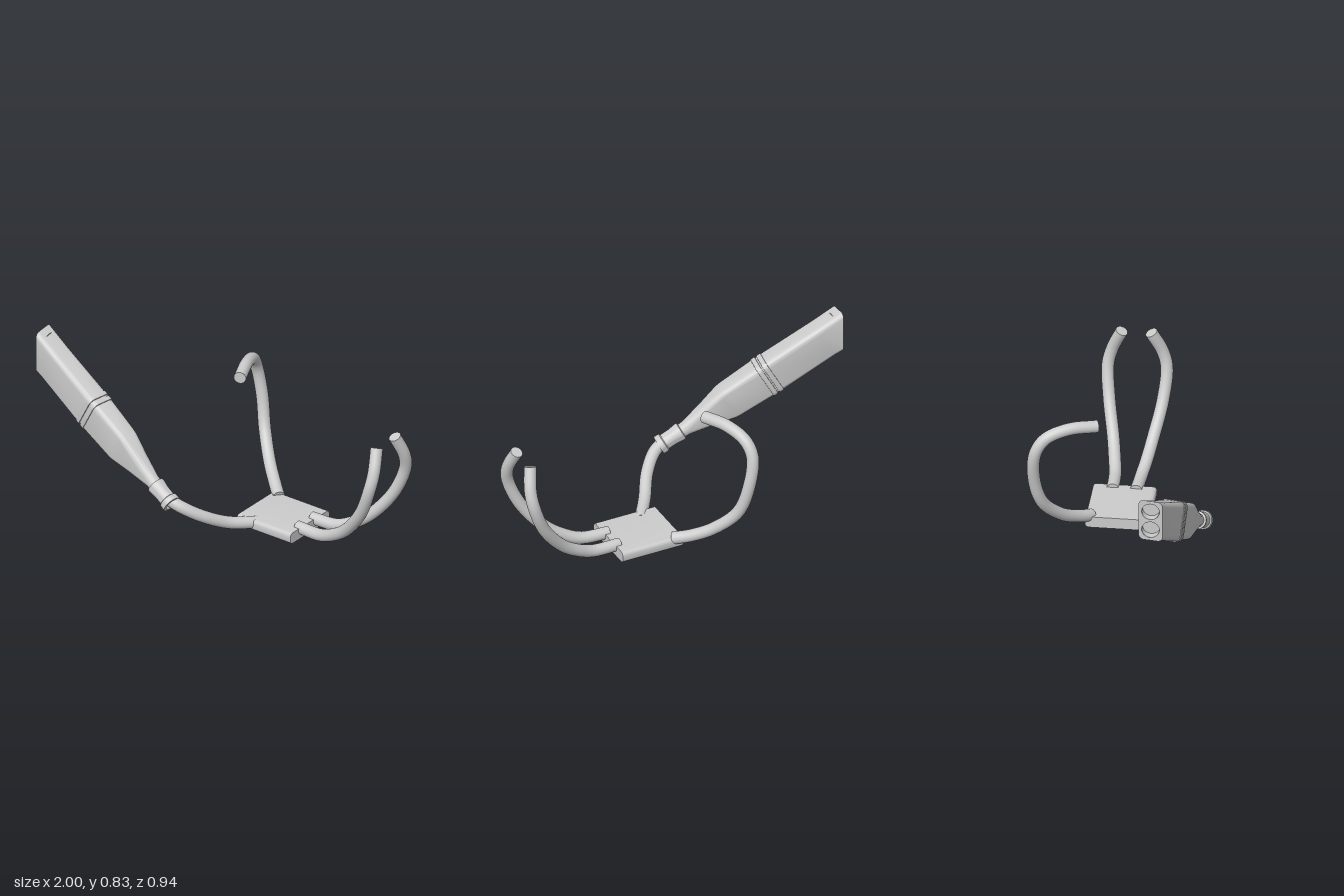
import * as THREE from 'three';
import { toCreasedNormals } from 'three/addons/utils/BufferGeometryUtils.js';

const V = (x, y, z) => new THREE.Vector3(x, y, z);

export function createModel() {
  const group = new THREE.Group();
  const grey = new THREE.MeshStandardMaterial({ color: 0xcccccc, side: THREE.DoubleSide });
  grey.name = 'light grey';
  const add = (name, geo, parent = group) => {
    const m = new THREE.Mesh(geo, grey);
    m.name = name;
    parent.add(m);
    return m;
  };

  // Round bent bar with flat ends
  function bar(name, pts, r = 0.032) {
    const g = new THREE.Group();
    g.name = name;
    group.add(g);
    const curve = new THREE.CatmullRomCurve3(pts.map(p => V(...p)));
    add(name + 'Rod', new THREE.TubeGeometry(curve, 60, r, 24), g);
    for (const t of [0, 1]) {
      const cap = add(name + 'End', new THREE.CircleGeometry(r, 24), g);
      cap.position.copy(curve.getPoint(t));
      cap.quaternion.setFromUnitVectors(V(0, 0, 1), curve.getTangent(t).multiplyScalar(t ? 1 : -1));
    }
  }

  // Outline of a rounded rectangle, counter-clockwise
  function roundedOutline(hw, hh, r, steps = 8) {
    const out = [];
    [[1, 1], [-1, 1], [-1, -1], [1, -1]].forEach(([sx, sy], q) => {
      for (let i = 0; i <= steps; i++) {
        const a = (q + i / steps) * Math.PI / 2;
        out.push(new THREE.Vector2(sx * (hw - r) + r * Math.cos(a), sy * (hh - r) + r * Math.sin(a)));
      }
    });
    return out;
  }

  // Base plate, rounded along its front and back edges
  const plate = new THREE.ExtrudeGeometry(new THREE.Shape(roundedOutline(0.163, 0.03, 0.02)),
    { depth: 0.34, bevelEnabled: false });
  plate.rotateY(Math.PI / 2).translate(0.12, 0.036, -0.045);
  add('basePlate', toCreasedNormals(plate, 0.5));

  // Two upright curved prongs on the left
  bar('frontProng', [[0.43, 0.055, 0.015], [0.58, 0.062, 0.025], [0.68, 0.105, 0.042], [0.77, 0.17, 0.06],
    [0.89, 0.32, 0.095], [0.955, 0.48, 0.108], [0.965, 0.57, 0.085], [0.942, 0.685, 0.03]]);
  bar('backProng', [[0.43, 0.055, -0.105], [0.58, 0.062, -0.11], [0.68, 0.105, -0.125], [0.77, 0.17, -0.143],
    [0.89, 0.32, -0.178], [0.955, 0.48, -0.192], [0.965, 0.57, -0.17], [0.942, 0.685, -0.12]]);

  // Hooked bar at the back
  bar('hookBar', [[0.16, 0.055, -0.18], [0.09, 0.085, -0.24], [0, 0.145, -0.315], [-0.095, 0.265, -0.4],
    [-0.14, 0.43, -0.437], [-0.165, 0.59, -0.425], [-0.15, 0.665, -0.375],
    [-0.105, 0.702, -0.263], [-0.045, 0.695, -0.125]]);

  // Arm leading to the handle
  bar('handleArm', [[0.22, 0.037, 0.07], [0.13, 0.062, 0.2], [0.055, 0.125, 0.32],
    [-0.025, 0.185, 0.395], [-0.1, 0.222, 0.418]]);

  // Handle axis and its cross-section frame
  const start = V(-0.18, 0.262, 0.4), axis = V(-0.82, 0.458, -0.138).normalize();
  const side = V(0, 1, 0).cross(axis).normalize(), up = axis.clone().cross(side);

  // Collar with rings at both ends
  const profile = [[0.03, -0.12], [0.036, -0.135], [0.049, -0.135], [0.051, -0.125], [0.049, -0.105],
    [0.042, -0.1], [0.042, -0.05], [0.047, -0.015], [0.047, 0], [0.03, 0.006]];
  const collar = add('collar', toCreasedNormals(
    new THREE.LatheGeometry(profile.map(p => new THREE.Vector2(...p)), 32), 0.6));
  collar.position.copy(start);
  collar.quaternion.setFromUnitVectors(V(0, 1, 0), axis);

  // Handle stations: distance, half width, half height, corner radius
  const stations = [
    [-0.01, 0.036, 0.036, 0.036], [0.03, 0.037, 0.038, 0.036], [0.15, 0.046, 0.064, 0.034],
    [0.27, 0.056, 0.093, 0.03], [0.30, 0.058, 0.095, 0.03], [0.49, 0.064, 0.099, 0.03],
    [0.491, 0.067, 0.104, 0.032], [0.515, 0.067, 0.104, 0.032], [0.516, 0.063, 0.099, 0.03],
    [0.524, 0.063, 0.099, 0.03], [0.525, 0.067, 0.104, 0.032], [0.55, 0.067, 0.104, 0.032],
    [0.551, 0.064, 0.1, 0.03], [0.86, 0.061, 0.098, 0.028], [0.949, 0.061, 0.1, 0.026]];
  const rings = stations.map(([t, hw, hh, r], k) => roundedOutline(hw, hh, r).map(p => {
    const v = start.clone().addScaledVector(axis, t).addScaledVector(side, p.x).addScaledVector(up, p.y);
    // The far end is cut upright
    if (k === stations.length - 1) v.addScaledVector(axis, (-1 - v.x) / axis.x);
    return v;
  }));
  const pos = [], n = rings[0].length;
  for (let i = 0; i < rings.length - 1; i++) {
    for (let j = 0; j < n; j++) {
      const a = rings[i][j], b = rings[i][(j + 1) % n];
      const c = rings[i + 1][(j + 1) % n], d = rings[i + 1][j];
      for (const v of [a, b, c, a, c, d]) pos.push(v.x, v.y, v.z);
    }
  }
  const body = new THREE.BufferGeometry();
  body.setAttribute('position', new THREE.Float32BufferAttribute(pos, 3));
  add('handleBody', toCreasedNormals(body, 0.5));

  // End face with two round sockets
  const rim = rings[rings.length - 1];
  const face = new THREE.Shape(rim.map(v => new THREE.Vector2(v.z, v.y)));
  const mid = rim.reduce((s, v) => s.add(v), V(0, 0, 0)).divideScalar(n);
  const r = 0.045, depth = 0.04;
  for (const s of [-1, 1]) {
    const y = mid.y + s * 0.052;
    face.holes.push(new THREE.Path().absarc(mid.z, y, r, 0, Math.PI * 2, true));
    const wall = new THREE.CylinderGeometry(r, r, depth, 32, 1, true).rotateZ(Math.PI / 2);
    add('socketWall', wall).position.set(-1 + depth / 2, y, mid.z);
    const floor = new THREE.CircleGeometry(r, 32).rotateY(-Math.PI / 2);
    add('socketFloor', floor).position.set(-1 + depth, y, mid.z);
  }
  add('handleEndFace', new THREE.ShapeGeometry(face, 24).rotateY(-Math.PI / 2).translate(-1, 0, 0));

  return group;
}
